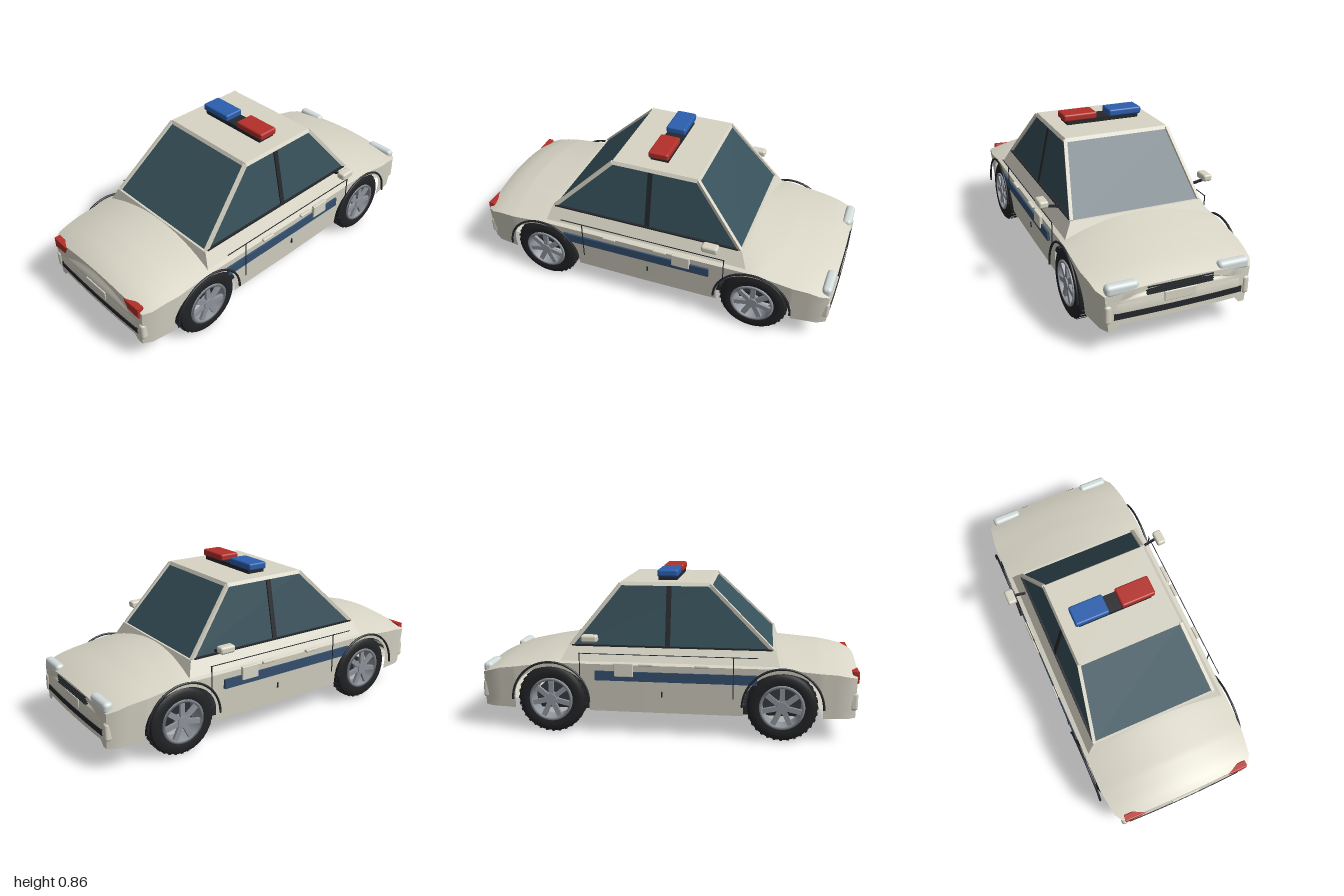
import * as THREE from 'three';
import { toCreasedNormals } from 'three/addons/utils/BufferGeometryUtils.js';
import { RoundedBoxGeometry } from 'three/addons/geometries/RoundedBoxGeometry.js';

const mat = (color, side = THREE.FrontSide) => new THREE.MeshStandardMaterial({ color, side });
const CREAM = mat(0xd8d5c6), SHELL = mat(0xd8d5c6, THREE.DoubleSide), GLASS = mat(0x36505a);
const BLACK = mat(0x25282c), RUBBER = mat(0x222326), METAL = mat(0x8f949b), BLUE = mat(0x2a5fae);
const RED = mat(0xb5302a), NAVY = mat(0x35506f), LAMP = mat(0xd4dcdc);

// piecewise linear curve through [z, value] pairs
const curve = (pts) => (z) => {
  let i = 1;
  while (i < pts.length - 1 && z > pts[i][0]) i++;
  const [a, b] = [pts[i - 1], pts[i]];
  return a[1] + (b[1] - a[1]) * THREE.MathUtils.clamp((z - a[0]) / (b[0] - a[0]), 0, 1);
};
const END = 0.985;
const halfWidth = curve([[-END, 0.375], [-0.94, 0.402], [-0.8, 0.423], [0, 0.428], [0.8, 0.423], [0.94, 0.402], [END, 0.375]]);
const shoulder = curve([[-END, 0.312], [-0.9, 0.342], [-0.6, 0.385], [0.6, 0.385], [0.9, 0.36], [END, 0.34]]);
const crown = curve([[-END, 0.338], [-0.9, 0.378], [-0.7, 0.43], [-0.5, 0.465], [0.57, 0.465], [0.8, 0.445], [0.93, 0.42], [END, 0.388]]);
const topY = (x, z) => shoulder(z) + (crown(z) - shoulder(z)) * (1 - (x / halfWidth(z)) ** 2);
const bowZ = (x, z) => z + Math.sign(z) * 0.01 * (1 - (x / halfWidth(z)) ** 2)
  * THREE.MathUtils.clamp((Math.abs(z) - 0.6) / 0.37, 0, 1);

// surface through equally long rows of points
function loft(rows) {
  const n = rows[0].length, index = [];
  for (let i = 0; i < rows.length - 1; i++) for (let j = 0; j < n - 1; j++) {
    const a = i * n + j, b = a + n;
    index.push(a, a + 1, b, b, a + 1, b + 1);
  }
  const g = new THREE.BufferGeometry();
  g.setAttribute('position', new THREE.Float32BufferAttribute(rows.flat(2), 3));
  g.setIndex(index);
  return toCreasedNormals(g, 0.55);
}

// box whose base and top rectangles differ: [halfX, z0, z1, y]
function frustum(base, top) {
  const g = new THREE.BoxGeometry(1, 1, 1), p = g.attributes.position;
  for (let i = 0; i < p.count; i++) {
    const r = p.getY(i) > 0 ? top : base;
    p.setXYZ(i, Math.sign(p.getX(i)) * r[0], r[3], p.getZ(i) < 0 ? r[1] : r[2]);
  }
  g.computeVertexNormals();
  return g;
}

// bar across the car, swept from a [y, z] profile and bowed outwards
function bowedBar(w, profile, dir) {
  const rows = [];
  for (let i = 0; i <= 16; i++) {
    const u = i / 8 - 1;
    rows.push(profile.map(([y, z]) => [w * u, y, dir * (z - 0.007 * u * u)]));
  }
  return loft(rows);
}

function makeWheel() {
  const wheel = new THREE.Group();
  const put = (name, g, m) => { const o = new THREE.Mesh(g, m); o.name = name; wheel.add(o); };
  const ring = (pts) => new THREE.LatheGeometry(pts.map(p => new THREE.Vector2(...p)), 40).rotateZ(-Math.PI / 2);
  put('tire', toCreasedNormals(ring([[0.112, -0.04], [0.13, -0.044], [0.155, -0.045], [0.173, -0.036], [0.18, -0.02], [0.18, 0.02],
    [0.173, 0.036], [0.155, 0.045], [0.13, 0.044], [0.112, 0.04], [0.112, -0.04]]), 0.6), RUBBER);
  put('rim', ring([[0.1, -0.035], [0.113, -0.035], [0.117, 0.046], [0.102, 0.046], [0.1, -0.035]]), METAL);
  put('hub', new THREE.CylinderGeometry(0.03, 0.034, 0.04, 20).rotateZ(-Math.PI / 2).translate(0.028, 0, 0), METAL);
  for (let i = 0; i < 7; i++) {
    const a = i / 7 * Math.PI * 2;
    put('spoke', new THREE.BoxGeometry(0.016, 0.085, 0.026).translate(0.034, 0.063, 0).rotateX(a), METAL);
  }
  for (let i = 0; i < 32; i++) {
    const a = i / 32 * Math.PI * 2;
    put('treadBlock', new THREE.BoxGeometry(0.05, 0.006, 0.012).translate(0, 0.1805, 0).rotateX(a), RUBBER);
  }
  return wheel;
}

export function createModel() {
  const car = new THREE.Group();
  const add = (name, g, m, x = 0, y = 0, z = 0) => {
    const o = new THREE.Mesh(g, m);
    o.name = name;
    o.position.set(x, y, z);
    car.add(o);
    return o;
  };
  const box = (name, m, x, y, z, w, h, d) => add(name, new THREE.BoxGeometry(w, h, d), m, x, y, z);
  const rbox = (name, m, x, y, z, w, h, d, r) => add(name, new RoundedBoxGeometry(w, h, d, 3, r), m, x, y, z);
  const beam = (name, m, a, b, w, d = w) => {
    const A = new THREE.Vector3(...a), B = new THREE.Vector3(...b);
    const o = box(name, m, 0, 0, 0, w, d, A.distanceTo(B));
    o.position.copy(A).add(B).multiplyScalar(0.5);
    o.lookAt(B);
  };

  // body shell with open wheel arches: columns of [z, lower edge]
  const cols = [[-END, 0.125], [-0.94, 0.125], [-0.88, 0.125]];
  for (const c of [-0.602, 0.615]) {
    const r = 0.203;
    cols.push([c - r, 0.125]);
    for (let i = 0; i <= 16; i++) {
      const a = Math.PI * (1 - i / 16);
      cols.push([c + r * Math.cos(a), 0.185 + 0.178 * Math.sin(a)]);
    }
    cols.push([c + r, 0.125]);
    if (c < 0) cols.push([-0.2, 0.125], [0, 0.125], [0.2, 0.125]);
  }
  cols.push([0.88, 0.125], [0.94, 0.125], [END, 0.125]);
  add('bodyShell', loft(cols.map(([z, low]) => {
    const w = halfWidth(z), sh = shoulder(z), side = [], top = [];
    for (let k = 0; k <= 4; k++) {
      const y = low + (sh - low) * k / 4;
      side.push([w - 0.1 * (sh - y), y, z]);
    }
    for (let k = 1; k < 16; k++) {
      const x = w * (1 - k / 8);
      top.push([x, topY(x, z), bowZ(x, z)]);
    }
    return [...side, ...top, ...side.map(([x, y, zz]) => [-x, y, zz]).reverse()];
  })), SHELL);

  for (const d of [-1, 1]) {
    // end panel with a recess under the arched lip of the lid
    const rows = [], z = d * END, sh = shoulder(z), lipMid = crown(z) - 0.014;
    for (let i = 0; i <= 24; i++) {
      const u = i / 12 - 1, x = 0.375 * u, low = Math.abs(u) < 0.84 ? 0.155 : 0.125;
      const fall = Math.max(0, 1 - (x / 0.29) ** 2), lip = 0.282 + (lipMid - 0.282) * fall;
      const points = [[low, 0], [0.2, 0], [0.272, 0]];
      for (let k = 1; k <= 8; k++) {
        const t = k / 8;
        points.push([0.272 + (lip - 0.272) * t, 0.022 * fall * Math.sin(Math.PI * t * t)]);
      }
      points.push([topY(x, z), 0]);
      rows.push(points.map(([y, depth]) => [x - 0.1 * u * (sh - Math.min(y, sh)), y, bowZ(x, z) - d * depth]));
    }
    const end = d > 0 ? 'rear' : 'front';
    add(end + 'Panel', loft(rows), SHELL);
    // rounded bumper running underneath to the floor
    add(end + 'Bumper', bowedBar(0.318, [[0.28, 0.975], [0.272, 0.991], [0.255, 0.997], [0.2, 0.997], [0.178, 0.993],
      [0.163, 0.98], [0.156, 0.955], [0.152, 0.76]], d), SHELL);
    add(end + 'BumperStrip', bowedBar(0.332, [[0.215, 0.96], [0.215, 1], [0.185, 1], [0.185, 0.96]], d), mat(0x25282c, THREE.DoubleSide));
    rbox(end + 'Plate', CREAM, 0, 0.257, d * 0.99, 0.165, 0.05, 0.02, 0.004);
    for (const s of [-1, 1]) rbox(end + 'MarkerLamp', CREAM, s * 0.358, 0.215, d * 0.974, 0.034, 0.095, 0.04, 0.014);
  }

  // dark floor pan
  box('floorPan', BLACK, 0, 0.132, 0, 0.64, 0.045, 1.54);

  // cabin
  add('cabinBase', frustum([0.415, -0.56, 0.6, 0.37], [0.362, -0.515, 0.57, 0.467]), CREAM);
  add('glasshouse', frustum([0.352, -0.505, 0.56, 0.465], [0.283, -0.245, 0.225, 0.788]), GLASS);
  add('roof', frustum([0.296, -0.255, 0.235, 0.782], [0.286, -0.245, 0.225, 0.8]), CREAM);
  for (const s of [-1, 1]) {
    beam('windshieldPillar', CREAM, [s * 0.353, 0.465, -0.505], [s * 0.285, 0.79, -0.245], 0.018);
    beam('rearPillar', CREAM, [s * 0.353, 0.465, 0.56], [s * 0.285, 0.79, 0.225], 0.018);
    beam('centerPillar', BLACK, [s * 0.353, 0.465, 0.012], [s * 0.285, 0.785, 0.012], 0.026, 0.012);
    box('windowSill', BLACK, s * 0.356, 0.468, 0.03, 0.014, 0.01, 1.05);

    // mirrors
    beam('mirrorArm', BLACK, [s * 0.375, 0.495, -0.38], [s * 0.445, 0.512, -0.385], 0.012);
    rbox('mirror', CREAM, s * 0.462, 0.529, -0.375, 0.05, 0.038, 0.085, 0.012);

    // side trim
    box('sideStripe', NAVY, s * 0.422, 0.325, 0.06, 0.022, 0.05, 0.84);
    rbox('doorBadge', CREAM, s * 0.431, 0.36, -0.207, 0.02, 0.072, 0.1, 0.004);
    box('rearDoorSeam', BLACK, s * 0.433, 0.335, 0.36, 0.004, 0.22, 0.004);
    box('frontDoorSeam', BLACK, s * 0.433, 0.375, -0.44, 0.004, 0.14, 0.004);
    box('doorTopSeam', BLACK, s * 0.433, 0.442, 0.02, 0.004, 0.003, 0.93);
    box('doorLock', BLACK, s * 0.415, 0.23, -0.01, 0.008, 0.03, 0.006);
    for (const z of [0.2, -0.09]) rbox('doorHandle', CREAM, s * 0.433, 0.39, z, 0.02, 0.014, 0.075, 0.005);

    // wheels and arch trims
    for (const z of [-0.602, 0.61]) {
      const wheel = makeWheel();
      wheel.name = z < 0 ? 'frontWheel' : 'rearWheel';
      wheel.position.set(s * 0.378, 0.184, z);
      if (s < 0) wheel.rotation.y = Math.PI;
      car.add(wheel);
      add('archTrim', new THREE.TorusGeometry(0.207, 0.006, 8, 32, Math.PI).rotateY(Math.PI / 2), BLACK, s * 0.436, 0.183, z + 0.003);
    }

    // lamps
    rbox('headlight', LAMP, s * 0.287, 0.331, -0.965, 0.165, 0.058, 0.05, 0.02);
    const lamp = new THREE.Shape([[0.25, 0.362], [0.355, 0.364], [0.355, 0.314], [0.278, 0.319]]
      .map(([x, y]) => new THREE.Vector2(s * x, y)));
    add('tailLight', new THREE.ExtrudeGeometry(lamp, { depth: 0.026, bevelSize: 0.005, bevelThickness: 0.005, bevelSegments: 2 }),
      RED, 0, 0, 0.966);
  }

  // grille slats
  for (let i = 0; i < 4; i++) box('grilleSlat', BLACK, 0, 0.288 + i * 0.012, -0.988, 0.34, 0.005, 0.022);

  // roof light bar
  box('lightBarBase', BLACK, 0, 0.813, -0.005, 0.41, 0.024, 0.1);
  rbox('blueBeacon', BLUE, -0.13, 0.839, -0.005, 0.188, 0.038, 0.11, 0.01);
  rbox('redBeacon', RED, 0.13, 0.839, -0.005, 0.188, 0.038, 0.11, 0.01);
  return car;
}
